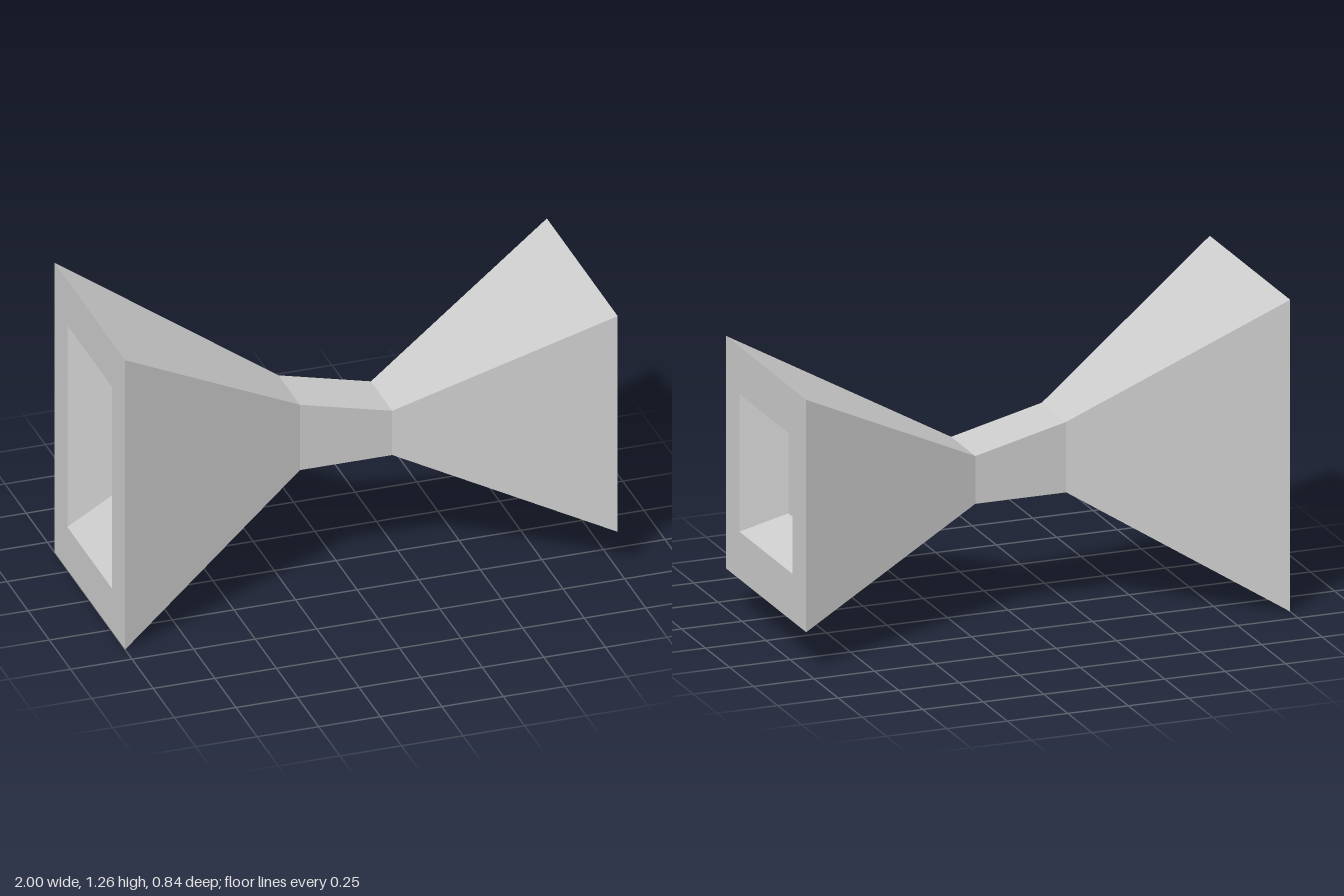
import * as THREE from 'three';

// Corners of a rectangular section, counter-clockwise seen from +x
const ring = ([x, y0, y1, hz]) => [[x, y0, hz], [x, y0, -hz], [x, y1, -hz], [x, y1, hz]];

// Flat-faced skin through rectangular sections [x, bottom, top, halfDepth]
function loft(name, sections, material, cap) {
  const positions = [];
  const quad = (a, b, c, d) => positions.push(...a, ...b, ...c, ...a, ...c, ...d);
  const rings = sections.map(ring);
  for (let s = 0; s < rings.length - 1; s++) {
    const a = rings[s], b = rings[s + 1];
    for (let i = 0; i < 4; i++) {
      const j = (i + 1) % 4;
      quad(a[i], a[j], b[j], b[i]);
    }
  }
  if (cap === 'start') quad(...rings[0].slice().reverse());
  if (cap === 'end') quad(...rings[rings.length - 1]);
  const geometry = new THREE.BufferGeometry();
  geometry.setAttribute('position', new THREE.Float32BufferAttribute(positions, 3));
  geometry.computeVertexNormals();
  const mesh = new THREE.Mesh(geometry, material);
  mesh.name = name;
  return mesh;
}

export function createModel() {
  const grey = new THREE.MeshStandardMaterial({ color: 0xcccccc, flatShading: true });
  grey.name = 'lightGrey';

  // Sections from the -x end to the +x end
  const largeFloor = [-0.83, 0.37, 0.89, 0.155];
  const largeMouth = [-1, 0.187, 1.067, 0.265];
  const largeRim = [-1, 0, 1.262, 0.418];
  const waistLarge = [-0.19, 0.492, 0.777, 0.126];
  const waistSmall = [0.185, 0.492, 0.685, 0.126];
  const smallRim = [1, 0.163, 1.104, 0.418];
  const smallMouth = [1, 0.355, 0.912, 0.276];
  const smallFloor = [0.83, 0.433, 0.83, 0.196];

  const model = new THREE.Group();
  model.name = 'doubleFlare';
  model.add(
    loft('largeRecess', [largeFloor, largeMouth], grey, 'start'),
    loft('largeRim', [largeMouth, largeRim], grey),
    loft('largeFlare', [largeRim, waistLarge], grey),
    loft('waist', [waistLarge, waistSmall], grey),
    loft('smallFlare', [waistSmall, smallRim], grey),
    loft('smallRim', [smallRim, smallMouth], grey),
    loft('smallRecess', [smallMouth, smallFloor], grey, 'end'),
  );
  return model;
}
